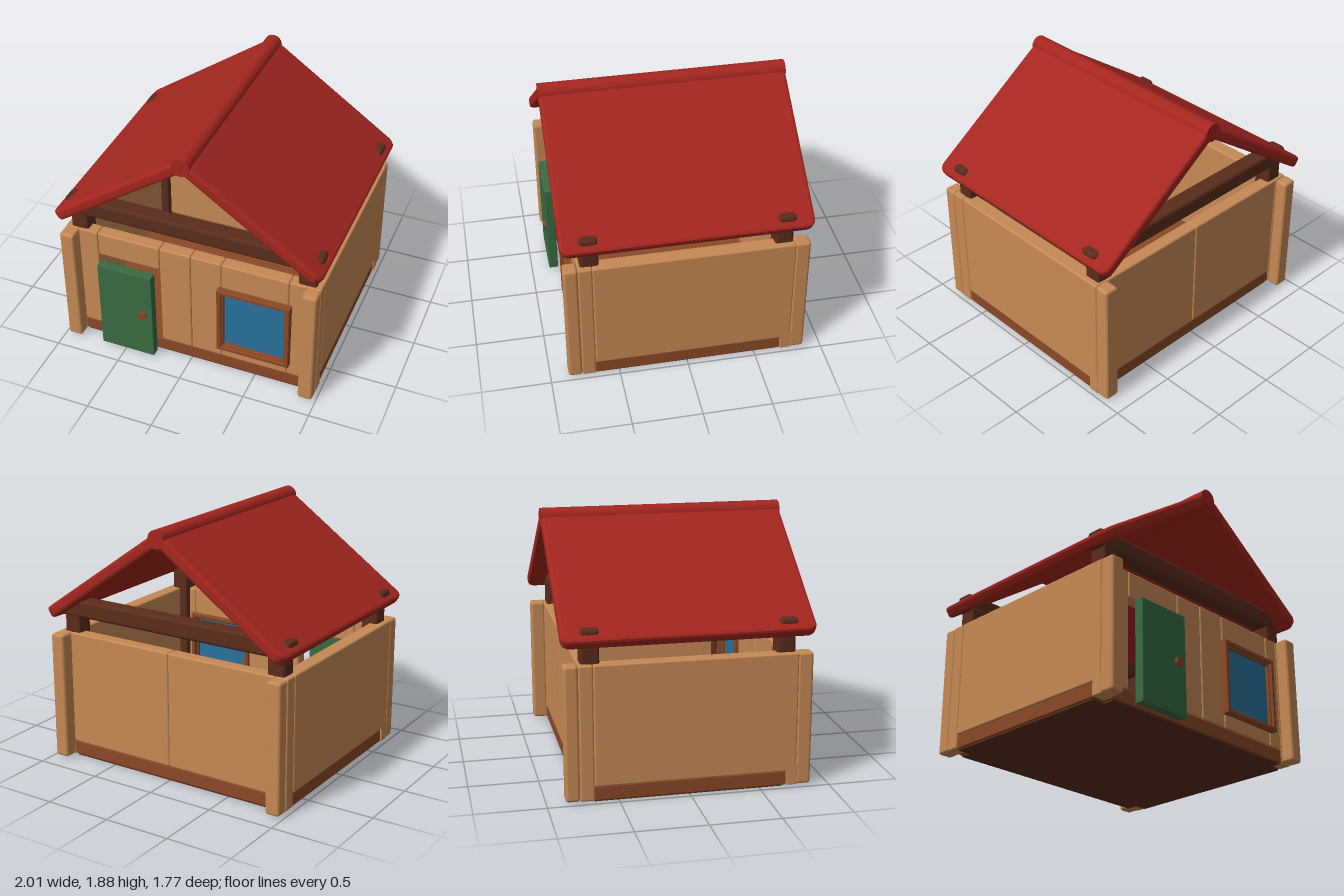
import * as THREE from 'three';
import { RoundedBoxGeometry } from 'three/addons/geometries/RoundedBoxGeometry.js';

const mat = (color) => new THREE.MeshStandardMaterial({ color });
const WOOD = mat(0xc68955), DARK = mat(0x5a2c1c), BROWN = mat(0x8a4826);
const RED = mat(0xa4261f), GREEN = mat(0x386b42), BLUE = mat(0x28719b);

// Soft-edged box given by its limits on each axis
function block(parent, name, material, [x0, x1], [y0, y1], [z0, z1], r = 0.013) {
  const size = [x1 - x0, y1 - y0, z1 - z0];
  const geo = r > 0 ? new RoundedBoxGeometry(...size, 2, r) : new THREE.BoxGeometry(...size);
  const mesh = new THREE.Mesh(geo, material);
  mesh.position.set((x0 + x1) / 2, (y0 + y1) / 2, (z0 + z1) / 2);
  mesh.name = name;
  parent.add(mesh);
  return mesh;
}

function group(parent, name) {
  const g = new THREE.Group();
  g.name = name;
  parent.add(g);
  return g;
}

const TOP = 0.975, SILL = 0.112;

// Floor slab and the sill band around it
function buildBase(house) {
  const base = group(house, 'base');
  block(base, 'floorUnderside', DARK, [-0.95, 0.95], [0, 0.02], [-0.67, 0.67], 0);
  block(base, 'floorUndersideLong', DARK, [-0.85, 0.85], [0, 0.02], [-0.755, 0.755], 0);
  block(base, 'sillLong', BROWN, [-0.87, 0.87], [0.012, SILL], [-0.765, 0.765], 0.006);
  block(base, 'sillRight', BROWN, [0.8, 0.965], [0.012, SILL], [-0.69, 0.67], 0.006);
  block(base, 'sillLeft', BROWN, [-0.965, -0.8], [0.012, SILL], [-0.67, 0.69], 0.006);
}

// One side wall with its corner pieces; the other is the same turned half round
function buildSideWall(house, name, turn) {
  const wall = group(house, name);
  const x = [0.865, 0.975];
  block(wall, 'cornerPost', WOOD, x, [0.012, TOP], [0.77, 0.87], 0.02);
  block(wall, 'cornerPostInner', WOOD, x, [0.012, TOP], [0.67, 0.77]);
  block(wall, 'sidePanel', WOOD, x, [SILL, TOP], [-0.765, 0.67]);
  block(wall, 'sidePanelFoot', WOOD, x, [0.012, 0.16], [-0.77, -0.69], 0.005);
  block(wall, 'sidePanelEnd', WOOD, x, [0.012, TOP], [-0.87, -0.76], 0.02);
  wall.rotation.y = turn;
}

function buildFrontAndBack(house) {
  const z = [0.67, 0.77];
  const front = group(house, 'frontWall');
  const panels = [
    [-0.87, -0.72, SILL, TOP], [-0.235, 0.005, SILL, TOP], [0.005, 0.24, SILL, TOP],
    [0.745, 0.87, SILL, TOP], [-0.72, -0.235, 0.78, TOP],
    [0.24, 0.745, 0.75, TOP], [0.24, 0.745, SILL, 0.24],
  ];
  for (const [x0, x1, y0, y1] of panels) block(front, 'frontPanel', WOOD, [x0, x1], [y0, y1], z);

  const back = group(house, 'backWall');
  for (const x of [[-0.87, 0], [0, 0.87]]) block(back, 'backPanel', WOOD, x, [SILL, TOP], [-0.77, -0.67]);
}

function buildDoor(house) {
  const door = group(house, 'door');
  block(door, 'doorLeaf', GREEN, [-0.69, -0.265], [0.012, 0.76], [0.795, 0.865], 0.008);
  const knob = new THREE.Mesh(new THREE.CylinderGeometry(0.033, 0.033, 0.115, 20), BROWN);
  knob.name = 'doorKnob';
  knob.rotation.x = Math.PI / 2;
  knob.position.set(-0.343, 0.393, 0.828);
  door.add(knob);
}

// Frame of four bars with a stepped inner lip, and the pane
function buildWindow(house) {
  const win = group(house, 'window');
  const ring = (name, [x0, x1], [y0, y1], w, z) => {
    const s = new THREE.Shape([[x0, y0], [x1, y0], [x1, y1], [x0, y1]].map((p) => new THREE.Vector2(...p)));
    s.holes.push(new THREE.Path([[x0 + w, y0 + w], [x0 + w, y1 - w], [x1 - w, y1 - w], [x1 - w, y0 + w]]
      .map((p) => new THREE.Vector2(...p))));
    const b = 0.006;
    const geo = new THREE.ExtrudeGeometry(s, {
      depth: z[1] - z[0] - 2 * b, bevelSize: b, bevelThickness: b, bevelOffset: -b, bevelSegments: 1,
    });
    const mesh = new THREE.Mesh(geo, BROWN);
    mesh.name = name;
    mesh.position.z = z[0] + b;
    win.add(mesh);
  };
  ring('windowFrame', [0.22, 0.77], [0.213, 0.773], 0.034, [0.64, 0.82]);
  ring('windowLip', [0.245, 0.745], [0.238, 0.748], 0.022, [0.67, 0.8]);
  block(win, 'windowPane', BLUE, [0.255, 0.735], [0.246, 0.738], [0.7, 0.775], 0);
}

// Inner posts and the tie beams whose ends poke through the roof
function buildTimber(house) {
  const timber = group(house, 'timberFrame');
  for (const s of [-1, 1]) {
    const z = [s * 0.685 - 0.066, s * 0.685 + 0.066];
    for (const t of [-1, 1]) {
      block(timber, 'innerPost', DARK, [t * 0.867 - 0.067, t * 0.867 + 0.067], [0.09, 1.12], z, 0.02);
    }
    block(timber, 'tieBeam', DARK, [-0.972, 0.972], [1.092, 1.224], [s * 0.69 - 0.065, s * 0.69 + 0.065], 0.025);
  }
}

// Two sloping slabs with rounded eave corners, and a ridge roll
function buildRoof(house) {
  const roof = group(house, 'roof');
  const L = 1.21, W = 0.885, R = 0.065, T = 0.086, B = 0.022;
  const slab = new THREE.Shape();
  slab.moveTo(0, -W);
  slab.lineTo(L - R, -W);
  slab.absarc(L - R, -W + R, R, -Math.PI / 2, 0);
  slab.absarc(L - R, W - R, R, 0, Math.PI / 2);
  slab.lineTo(0, W);
  const geo = new THREE.ExtrudeGeometry(slab, {
    depth: T - 2 * B, bevelSize: B, bevelThickness: B, bevelOffset: -B, bevelSegments: 2, curveSegments: 6,
  });
  geo.translate(0, 0, B - T / 2).rotateX(-Math.PI / 2).rotateZ(-0.612);
  for (const [name, turn] of [['roofSlabLeft', 0], ['roofSlabRight', Math.PI]]) {
    const mesh = new THREE.Mesh(geo, RED);
    mesh.name = name;
    mesh.rotation.y = turn;
    mesh.position.y = 1.815;
    roof.add(mesh);
  }
  const ridge = new THREE.Mesh(new THREE.CylinderGeometry(0.067, 0.067, 2 * W, 24), RED);
  ridge.name = 'ridgeRoll';
  ridge.rotation.x = Math.PI / 2;
  ridge.position.y = 1.813;
  roof.add(ridge);
}

export function createModel() {
  const house = new THREE.Group();
  house.name = 'toyHouse';
  buildBase(house);
  buildSideWall(house, 'leftWall', 0);
  buildSideWall(house, 'rightWall', Math.PI);
  buildFrontAndBack(house);
  buildDoor(house);
  buildWindow(house);
  buildTimber(house);
  buildRoof(house);
  return house;
}
